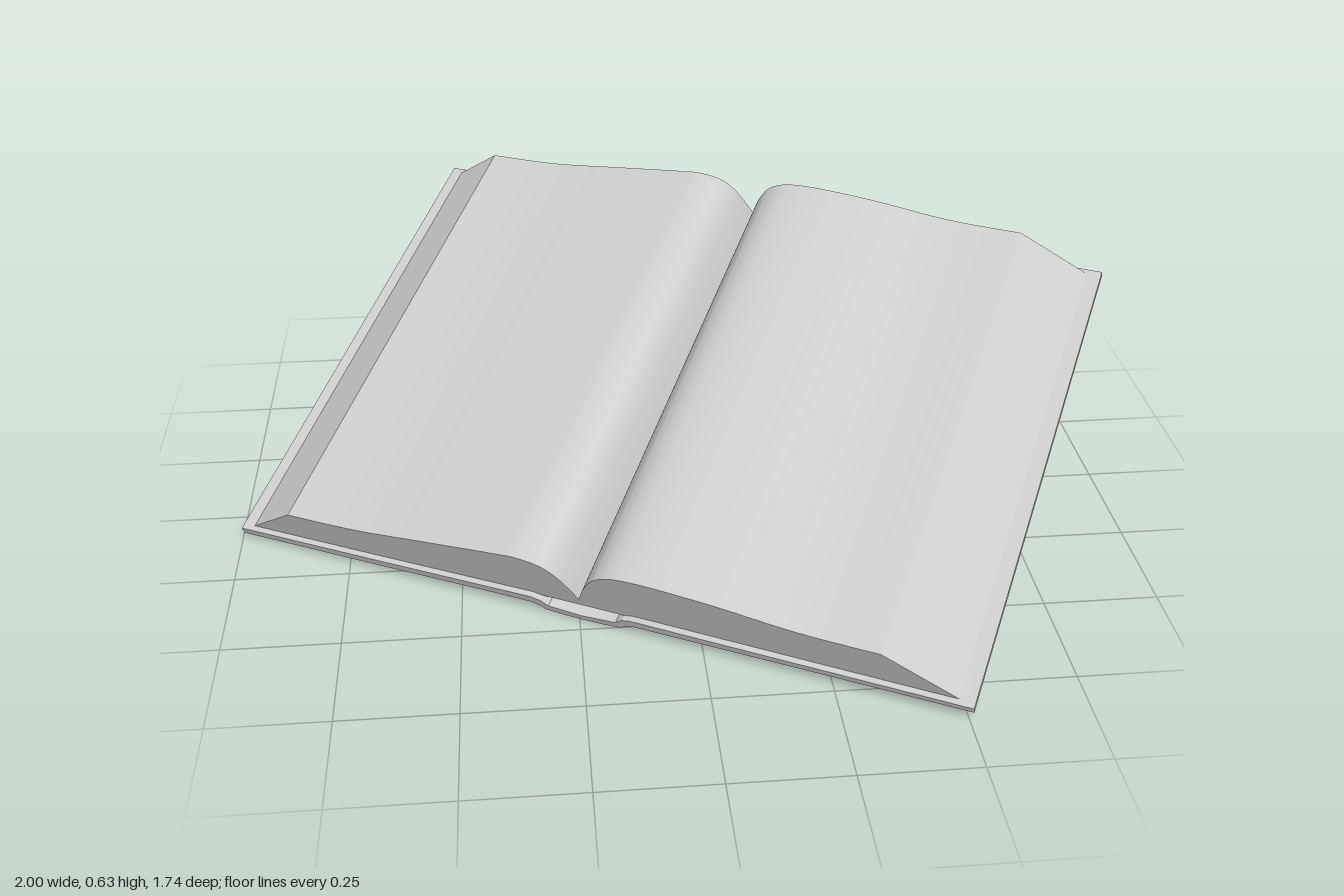
import * as THREE from 'three';
import { toCreasedNormals } from 'three/addons/utils/BufferGeometryUtils.js';

const material = new THREE.MeshStandardMaterial({ color: 0xcccccc });
const COVER_DEPTH = 1.17;
const PAGE_DEPTH = 1.144;

const vectors = (points) => points.map(([x, y]) => new THREE.Vector2(x, y));
const smooth = (points, steps) => new THREE.SplineCurve(vectors(points)).getPoints(steps);

// Extrudes a cross-section along the book's height, centred on z = 0
function slab(name, outline, depth) {
  const geometry = new THREE.ExtrudeGeometry(new THREE.Shape(outline), {
    depth, bevelEnabled: false, steps: 1,
  });
  geometry.translate(0, 0, -depth / 2);
  const mesh = new THREE.Mesh(toCreasedNormals(geometry, 0.45), material);
  mesh.name = name;
  return mesh;
}

// Round cord lying across the outside of the spine
function spineBand(name, z, radius, drop) {
  const path = new THREE.CatmullRomCurve3([
    [-0.092, -0.008], [-0.082, -0.02], [-0.04, -0.024], [0, -0.026],
    [0.04, -0.024], [0.082, -0.02], [0.092, -0.008],
  ].map(([x, y]) => new THREE.Vector3(x, y - drop, z)));
  const mesh = new THREE.Mesh(new THREE.TubeGeometry(path, 28, radius, 10), material);
  mesh.name = name;
  return mesh;
}

export function createModel() {
  const book = new THREE.Group();
  book.name = 'openBook';

  // Cover: two boards, hinge grooves and the spine in one section
  const underside = vectors([
    [-0.848, -0.016], [-0.5, -0.011], [-0.2, -0.004], [-0.118, -0.004], [-0.1, -0.01],
    [-0.088, -0.021], [-0.05, -0.0255], [0, -0.027], [0.05, -0.0255], [0.088, -0.021],
    [0.1, -0.01], [0.118, -0.004], [0.2, -0.004], [0.5, -0.004], [0.848, -0.006],
  ]);
  const inside = vectors([
    [0.848, 0.009], [0.5, 0.013], [0.2, 0.017], [0.115, 0.018], [0.095, 0.012],
    [0.078, -0.004], [0, -0.011], [-0.078, -0.004], [-0.095, 0.012],
    [-0.115, 0.018], [-0.2, 0.016], [-0.5, 0.009], [-0.848, 0.003],
  ]);
  book.add(slab('cover', [...underside, ...inside], COVER_DEPTH));

  // Page blocks: flat foot, slanted fore edge, rounded rise out of the gutter
  const leftTop = smooth([
    [-0.7, 0.092], [-0.53, 0.097], [-0.357, 0.119], [-0.172, 0.143], [-0.126, 0.146],
    [-0.075, 0.135], [-0.038, 0.1], [-0.004, 0.034],
  ], 42);
  book.add(slab('leftPages', [
    ...vectors([[-0.82, 0.004]]), ...leftTop,
    ...vectors([[-0.004, 0.012], [-0.115, 0.012], [-0.5, 0.005]]),
  ].reverse(), PAGE_DEPTH));

  const rightTop = smooth([
    [-0.004, 0.034], [0.02, 0.09], [0.06, 0.138], [0.135, 0.157], [0.302, 0.146],
    [0.488, 0.119], [0.662, 0.113],
  ], 42);
  book.add(slab('rightPages', [
    ...rightTop,
    ...vectors([[0.815, 0.01], [0.5, 0.01], [0.115, 0.012], [-0.004, 0.012]]),
  ].reverse(), PAGE_DEPTH));

  // Four raised bands and a thin cord at each end of the spine
  [0.315, 0.11, -0.095, -0.3].forEach((z, i) => {
    book.add(spineBand(`spineBand${i + 1}`, z, 0.012, 0.002));
  });
  [1, -1].forEach((side) => {
    book.add(spineBand(side > 0 ? 'tailCord' : 'headCord', side * 0.578, 0.007, -0.004));
  });

  // Lean the open book back and turn it
  book.rotation.set(THREE.MathUtils.degToRad(23.6), THREE.MathUtils.degToRad(-27.4), 0, 'YXZ');
  book.position.y = 0.26;

  const model = new THREE.Group();
  model.name = 'model';
  model.add(book);
  return model;
}
